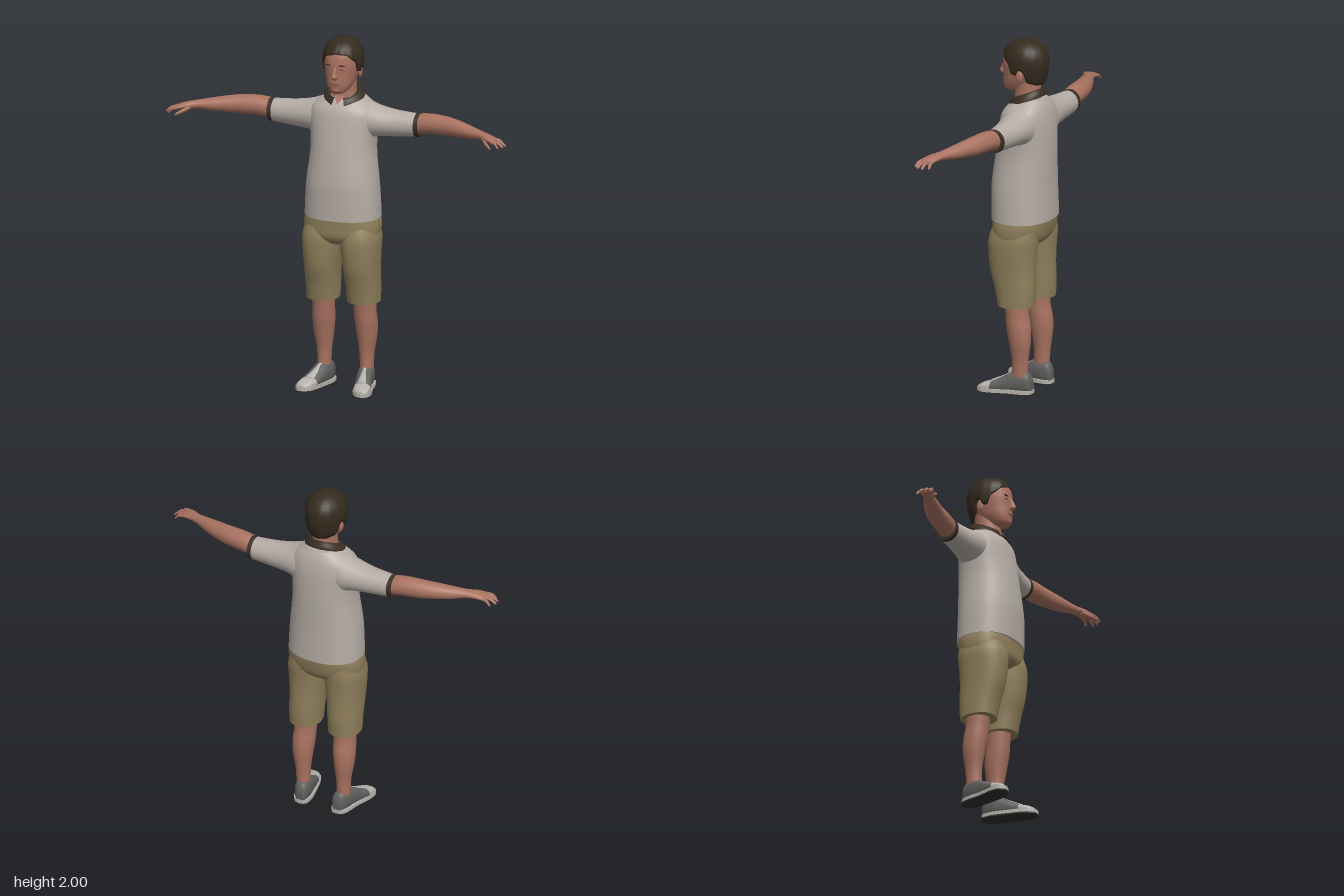
import * as THREE from 'three';

const paint = (name, color, side = THREE.FrontSide) => {
  const m = new THREE.MeshStandardMaterial({ color, side });
  m.name = name;
  return m;
};

// Smooth skin over oval rings [position, c1, c2, r1, r2] along an axis.
// c1, c2 are (x, z) along y, (z, y) along x and (y, x) along z.
function loft(axis, rings, n = 2, seg = 28, steps = 4) {
  const spline = (a, b, c, d, t) =>
    b + 0.5 * t * (c - a + t * (2 * a - 5 * b + 4 * c - d + t * (3 * (b - c) + d - a)));
  const rows = [];
  for (let i = 0; i < rings.length - 1; i++) {
    const at = k => rings[Math.min(Math.max(k, 0), rings.length - 1)];
    for (let s = 0; s < steps; s++)
      rows.push(rings[0].map((_, k) => spline(at(i - 1)[k], at(i)[k], at(i + 1)[k], at(i + 2)[k], s / steps)));
  }
  rows.push(rings[rings.length - 1]);
  const put = (p, a, b) => axis === 'y' ? [a, p, b] : axis === 'x' ? [p, b, a] : [b, a, p];
  const pow = v => Math.sign(v) * Math.abs(v) ** (2 / n);
  const pos = [], idx = [];
  const addRing = ([p, c1, c2, r1, r2]) => {
    for (let j = 0; j < seg; j++) {
      const a = j / seg * Math.PI * 2;
      pos.push(...put(p, c1 + r1 * pow(Math.cos(a)), c2 + r2 * pow(Math.sin(a))));
    }
  };
  rows.forEach(addRing);
  for (let i = 0; i < rows.length - 1; i++)
    for (let j = 0; j < seg; j++) {
      const a = i * seg + j, b = i * seg + (j + 1) % seg;
      idx.push(a, a + seg, b, b, a + seg, b + seg);
    }
  // separate end caps keep the rims crisp
  [rows[0], rows[rows.length - 1]].forEach((r, end) => {
    const base = pos.length / 3;
    addRing(r);
    pos.push(...put(r[0], r[1], r[2]));
    for (let j = 0; j < seg; j++) {
      const a = base + j, b = base + (j + 1) % seg;
      idx.push(...(end ? [b, a, base + seg] : [a, b, base + seg]));
    }
  });
  return build(pos, idx);
}

function build(pos, idx) {
  const g = new THREE.BufferGeometry();
  g.setAttribute('position', new THREE.Float32BufferAttribute(pos, 3));
  g.setIndex(idx);
  g.computeVertexNormals();
  return g;
}

// Grid surface closed around the y axis or spanning part of it
function sheet(f, nu, nv) {
  const pos = [], idx = [];
  for (let i = 0; i <= nv; i++)
    for (let j = 0; j <= nu; j++) pos.push(...f(j / nu, i / nv));
  for (let i = 0; i < nv; i++)
    for (let j = 0; j < nu; j++) {
      const a = i * (nu + 1) + j, b = a + nu + 1;
      idx.push(a, b, a + 1, a + 1, b, b + 1);
    }
  return build(pos, idx);
}

function blob(x, y, z, sx, sy, sz) {
  return new THREE.SphereGeometry(1, 16, 10).scale(sx, sy, sz).translate(x, y, z);
}

function mirrored(geo) {
  const g = geo.index ? geo.toNonIndexed() : geo.clone();
  for (const key of ['position', 'normal']) {
    const a = g.attributes[key];
    for (let i = 0; i < a.count; i += 3) {
      const v = [0, 2, 1].map(k => [-a.getX(i + k), a.getY(i + k), a.getZ(i + k)]);
      v.forEach((p, k) => a.setXYZ(i + k, ...p));
    }
  }
  return g;
}

export function createModel() {
  const model = new THREE.Group();
  model.name = 'standingMan';
  const skin = paint('skin', 0xa87260), lip = paint('darkSkin', 0x85564a);
  const hairMat = paint('hair', 0x352b1e, THREE.DoubleSide);
  const shirt = paint('shirt', 0xb5aca4), trim = paint('trim', 0x3a2f25, THREE.DoubleSide);
  const khaki = paint('khaki', 0x8f7f5b), canvas = paint('shoeCanvas', 0x5f5f5d);
  const rubber = paint('shoeRubber', 0xb6b1ab), tread = paint('tread', 0x2f2d2d);
  const add = (name, geo, mat) => {
    const m = new THREE.Mesh(geo, mat);
    m.name = name;
    model.add(m);
  };
  const pair = (name, geo, mat) => {
    add(name + 'Left', geo, mat);
    add(name + 'Right', mirrored(geo), mat);
  };

  // shirt
  add('shirtBody', loft('y', [[.985, 0, -.012, .213, .166], [1.1, 0, -.01, .208, .166], [1.2, 0, -.01, .2, .165],
    [1.35, 0, -.02, .183, .157], [1.45, 0, -.027, .185, .148], [1.53, 0, -.032, .195, .138],
    [1.59, 0, -.035, .188, .126], [1.63, 0, -.042, .15, .108], [1.67, 0, -.05, .092, .08]], 2.3, 40), shirt);
  pair('sleeve', loft('x', [[.08, -.045, 1.53, .1, .118], [.14, -.045, 1.53, .1, .108], [.2, -.045, 1.53, .092, .087],
    [.3, -.047, 1.526, .074, .074], [.43, -.05, 1.527, .062, .064]]), shirt);
  pair('sleeveCuff', loft('x', [[.42, -.05, 1.528, .066, .067], [.443, -.05, 1.529, .065, .066]], 2, 28, 1), trim);

  // folded collar, open at the front
  add('collar', sheet((u, v) => {
    const a = .3 + u * (Math.PI * 2 - .6), c = Math.cos(a);
    const w = Math.min(v * 1.25, 1), top = 1.698 - .036 * c, low = 1.655 - .035 * c;
    const r = v < .2 ? .9 + v * .5 : 1;
    const y = v < .2 ? top - .012 + v * .06 : THREE.MathUtils.lerp(top, low, (v - .2) / .8);
    return [Math.sin(a) * (.078 + .036 * w) * r, y, -.03 + c * (.082 + .022 * w) * r];
  }, 40, 5), trim);
  add('openNeckline', build([-.03, 1.675, .046, 0, 1.632, .08, .03, 1.675, .046], [0, 1, 2]), skin);

  // shorts
  add('shortsHips', loft('y', [[.84, 0, -.005, .17, .1], [.88, 0, -.003, .21, .14], [.95, 0, -.01, .216, .152],
    [1, 0, -.012, .205, .155]], 2.4, 36), khaki);
  pair('shortsLeg', loft('y', [[.503, .12, -.022, .088, .102], [.6, .118, -.015, .091, .115], [.7, .115, 0, .096, .128],
    [.8, .112, .004, .105, .136], [.88, .109, 0, .109, .14], [.95, .1, -.01, .1, .13]], 2.3), khaki);

  // legs
  pair('leg', loft('y', [[.1, .125, -.048, .037, .044], [.2, .125, -.05, .041, .048], [.3, .127, -.048, .056, .062],
    [.38, .125, -.04, .062, .069], [.45, .122, -.03, .062, .066], [.56, .12, -.02, .065, .07]]), skin);

  // shoes, toes turned outward
  const foot = [[-.118, .045, .113, .034, .02], [-.1, .065, .116, .056, .036], [-.05, .068, .122, .063, .046],
    [0, .063, .131, .058, .046], [.05, .049, .144, .043, .048], [.1, .037, .158, .031, .05],
    [.15, .03, .169, .023, .043], [.178, .024, .174, .012, .022]];
  pair('shoeUpper', loft('z', foot.slice(0, 6), 2.4), canvas);
  pair('toeCap', loft('z', foot.slice(5), 2.4), rubber);
  pair('shoeTongue', loft('z', [[-.004, .09, .131, .036, .022], [.05, .07, .142, .027, .026],
    [.105, .05, .157, .022, .034]]), rubber);
  const edge = side => foot.map(([z, , x, , r]) => new THREE.Vector2(x + side * (r + .005), -z));
  const outline = new THREE.Shape();
  const heel = edge(-1)[0], toe = edge(1)[foot.length - 1];
  outline.moveTo(heel.x, heel.y).splineThru(edge(-1).slice(1));
  outline.quadraticCurveTo(.176, -.192, toe.x, toe.y);
  outline.splineThru(edge(1).reverse().slice(1));
  outline.quadraticCurveTo(.113, .128, heel.x, heel.y);
  const sole = (y, depth) => new THREE.ExtrudeGeometry(outline, { depth, bevelEnabled: false, curveSegments: 8 })
    .rotateX(-Math.PI / 2).translate(0, y, 0);
  pair('soleRim', sole(.008, .02), rubber);
  pair('soleTread', sole(0, .008), tread);

  // arms and hands
  pair('arm', loft('x', [[.41, -.048, 1.532, .054, .057], [.5, -.042, 1.545, .056, .056], [.6, -.028, 1.546, .053, .053],
    [.68, -.006, 1.544, .049, .046], [.76, .022, 1.541, .041, .036], [.83, .05, 1.54, .031, .025],
    [.88, .074, 1.536, .038, .021], [.925, .09, 1.528, .042, .016], [.945, .097, 1.522, .036, .009]]), skin);
  [[.978, .06, .055], [1, .082, .086], [.995, .104, .116], [.975, .124, .138]].forEach(([tip, z0, z1], i) => {
    const mid = (.93 + tip) / 2;
    pair('finger' + (i + 1), loft('x', [[.925, z0, 1.527, .011, .01], [mid, (z0 + z1) / 2, 1.521, .01, .009],
      [tip - .008, z1, 1.505, .008, .008], [tip, z1, 1.5, .002, .002]], 2, 10), skin);
  });
  pair('thumb', loft('x', [[.86, .085, 1.53, .014, .014], [.89, .118, 1.514, .013, .012],
    [.92, .142, 1.5, .01, .009], [.932, .149, 1.494, .003, .003]], 2, 12), skin);

  // head and neck
  add('neck', loft('y', [[1.62, 0, -.035, .085, .08], [1.68, 0, -.03, .07, .075], [1.74, 0, -.03, .068, .07],
    [1.79, 0, -.03, .07, .07]]), skin);
  add('head', loft('y', [[1.697, 0, .06, .03, .03], [1.712, 0, .046, .052, .06], [1.75, 0, .02, .073, .095],
    [1.8, 0, 0, .086, .114], [1.86, 0, -.01, .096, .124], [1.92, 0, -.015, .094, .118],
    [1.955, 0, -.018, .07, .09], [1.975, 0, -.02, .03, .04]], 2.15, 36), skin);
  add('nose', loft('y', [[1.783, 0, .112, .014, .016], [1.797, 0, .12, .018, .025], [1.82, 0, .116, .012, .021],
    [1.855, 0, .11, .009, .01]], 2, 16), skin);
  add('chin', blob(0, 1.722, .095, .03, .018, .018), skin);
  add('mouth', blob(0, 1.757, .114, .027, .006, .005), lip);
  pair('ear', blob(.096, 1.806, -.026, .011, .034, .021), skin);
  pair('eye', blob(.037, 1.842, .106, .017, .005, .005), lip);
  pair('eyebrow', blob(.038, 1.862, .107, .022, .004, .005), hairMat);

  // hair: lower edge follows [angle from front, height]
  const hairline = [[0, 1.925], [.6, 1.912], [.85, 1.885], [1.1, 1.865], [1.25, 1.815], [1.5, 1.81],
    [1.6, 1.845], [1.85, 1.84], [2, 1.775], [2.5, 1.757], [3.15, 1.75]];
  const lowEdge = a => {
    const k = hairline.findIndex(p => p[0] >= a) || 1;
    const [p, q] = [hairline[k - 1], hairline[k]];
    return THREE.MathUtils.mapLinear(a, p[0], q[0], p[1], q[1]);
  };
  add('hair', sheet((u, v) => {
    const a = u * Math.PI * 2, around = Math.min(a, Math.PI * 2 - a);
    const t = Math.min(v / .93, 1), low = lowEdge(around) + .012 * Math.sin(a) * Math.max(0, Math.cos(a));
    const y = 1.998 - (1.998 - low) * (1 - Math.cos(t * Math.PI / 2));
    const h = (y - 1.88) / (y > 1.88 ? .118 : .13);
    let r = y > 1.88 ? Math.sqrt(Math.max(0, 1 - Math.abs(h) ** 2.3)) : 1 - .2 * h * h;
    r *= 1 + .012 * t * Math.sin(a * 13 + t * 4);
    if (v > .94) r *= .82;
    return [Math.sin(a) * .113 * r, y, -.018 + Math.cos(a) * .132 * r];
  }, 80, 15), hairMat);

  return model;
}
